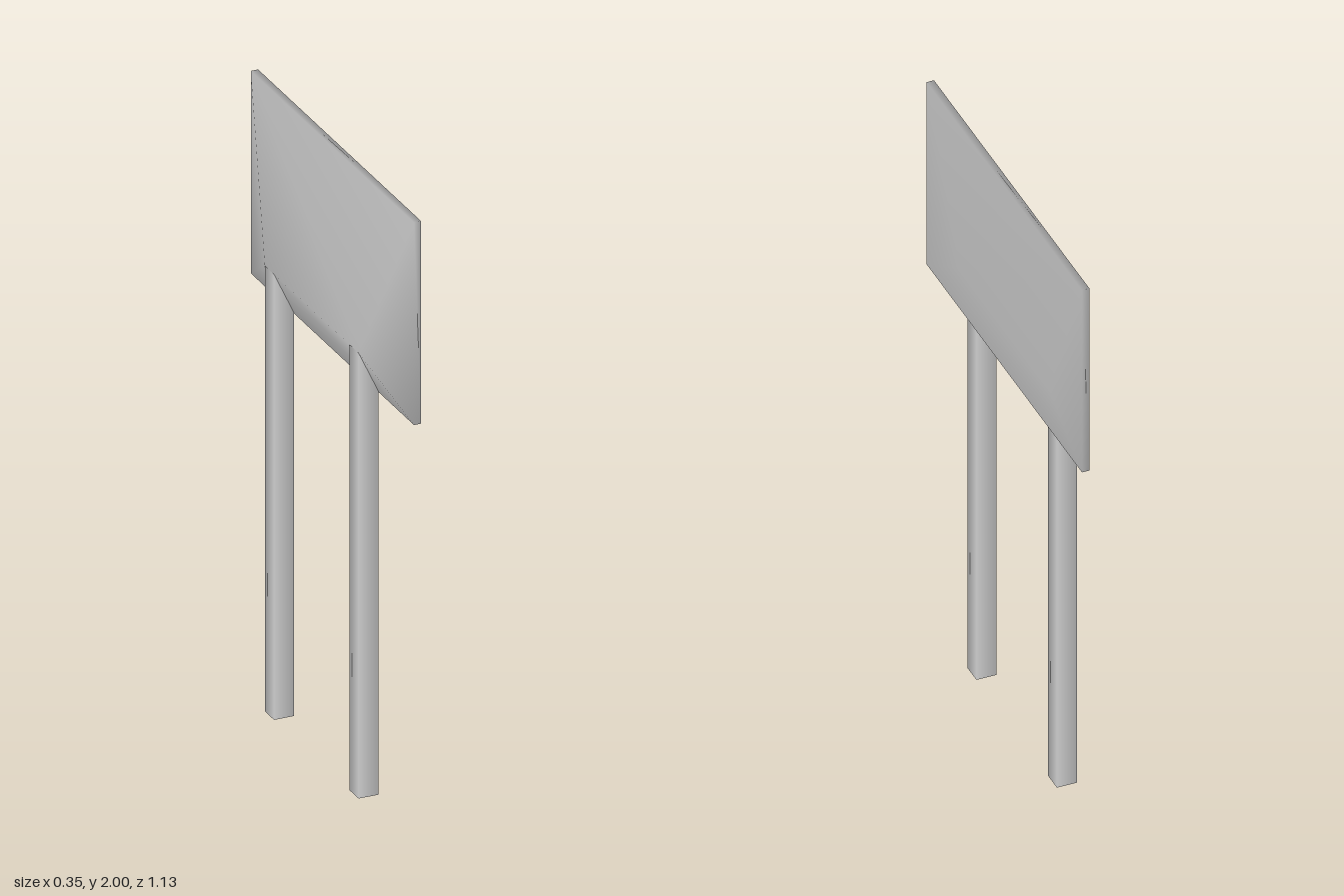
import * as THREE from 'three';

const HALF = 0.583, BOTTOM = 1.33, TOP = 2;        // panel outline
const FRONT = 0.012, BACK = -0.012;                // panel thickness
const RIDGE_X = 0.335, RIDGE_Y = 1.475, RIDGE_Z = -0.08; // hipped back
const LEG = 0.066;

// Six points of one panel layer: four corners, then the two ridge points
const layer = (z, ridgeZ) => [
  -HALF, BOTTOM, z, HALF, BOTTOM, z, HALF, TOP, z, -HALF, TOP, z,
  -RIDGE_X, RIDGE_Y, ridgeZ, RIDGE_X, RIDGE_Y, ridgeZ,
];

function panelGeometry() {
  const faces = [[0, 1, 5], [0, 5, 4], [1, 2, 5], [2, 3, 4], [2, 4, 5], [3, 0, 4]];
  const index = [];
  for (const [a, b, c] of faces) index.push(a, b, c, a + 6, c + 6, b + 6);
  // rim joining the front and back layers
  for (let i = 0; i < 4; i++) {
    const j = (i + 1) % 4;
    index.push(i, i + 6, j, j, i + 6, j + 6);
  }
  const geo = new THREE.BufferGeometry();
  const points = [...layer(FRONT, FRONT), ...layer(BACK, RIDGE_Z)];
  geo.setAttribute('position', new THREE.Float32BufferAttribute(points, 3));
  geo.setIndex(index);
  geo.computeVertexNormals();
  return geo;
}

export function createModel() {
  const model = new THREE.Group();
  model.name = 'signboard';
  const material = new THREE.MeshStandardMaterial({ color: 0xcccccc });
  const openMaterial = new THREE.MeshStandardMaterial({ color: 0xcccccc, side: THREE.DoubleSide });

  // Flat-fronted board with a shallow hipped back
  const panel = new THREE.Mesh(panelGeometry(), material);
  panel.name = 'panel';
  model.add(panel);

  // Square hollow posts, running up into the back of the board
  const legGeo = new THREE.CylinderGeometry(LEG / Math.SQRT2, LEG / Math.SQRT2, RIDGE_Y, 4, 1, true);
  legGeo.rotateY(Math.PI / 4);
  for (const side of [-1, 1]) {
    const leg = new THREE.Mesh(legGeo, openMaterial);
    leg.name = side < 0 ? 'frontPost' : 'backPost';
    leg.position.set(side * (RIDGE_X - LEG / 2), RIDGE_Y / 2, RIDGE_Z + LEG / 2);
    model.add(leg);
  }

  // The board is turned so its face looks mostly towards +x
  model.rotation.y = 1.286;
  const root = new THREE.Group();
  root.name = 'sign';
  root.add(model);
  return root;
}
